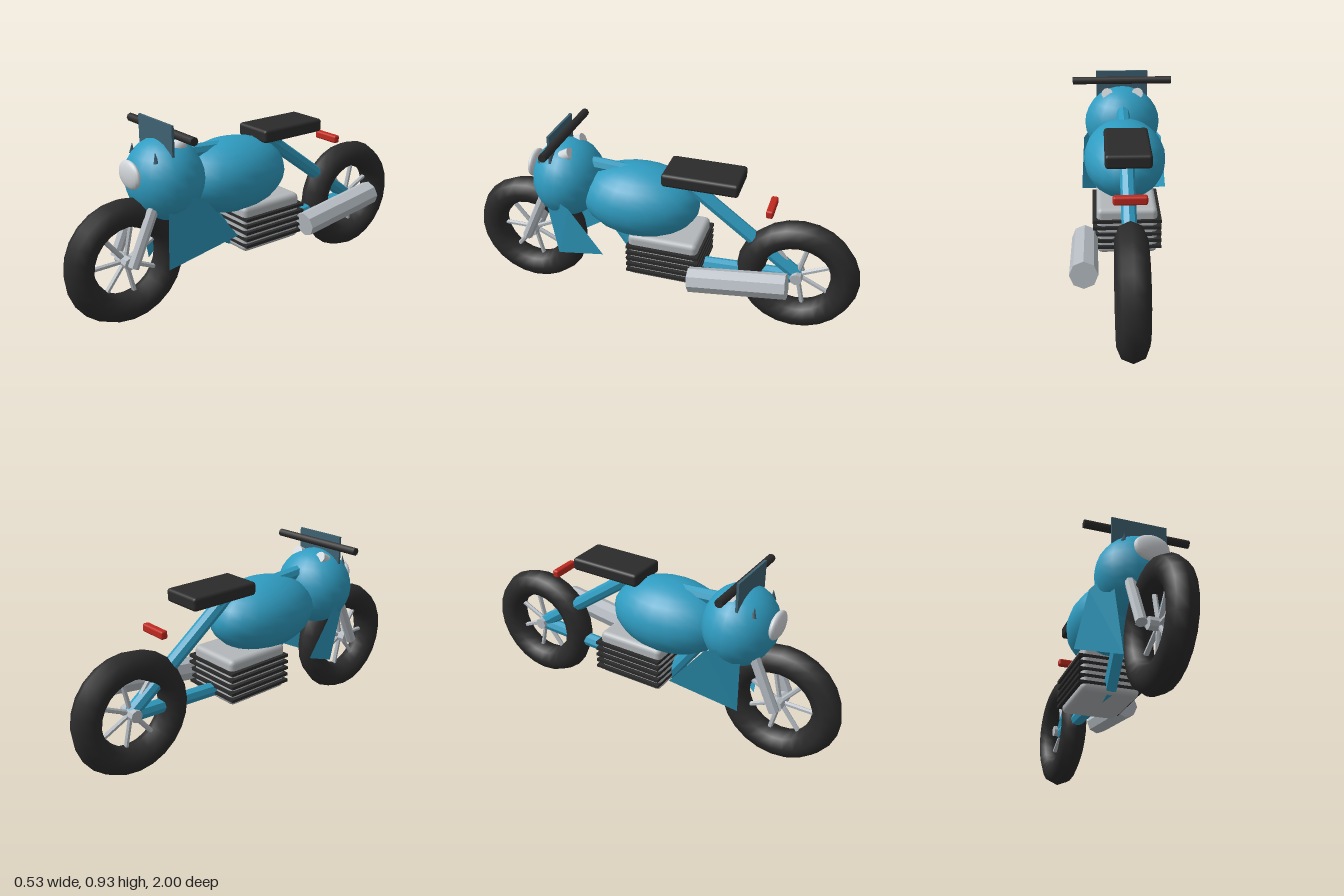
import * as THREE from 'three';
import { RoundedBoxGeometry } from 'three/addons/geometries/RoundedBoxGeometry.js';

const material = (name, color, extra = {}) => {
  const m = new THREE.MeshStandardMaterial({ color, ...extra });
  m.name = name;
  return m;
};

export function createModel() {
  const bike = new THREE.Group();
  bike.name = 'motorcycle';

  const flat = { flatShading: true };
  const blue = material('blue paint', 0x2f9cc1);
  const blueFlat = material('blue frame paint', 0x2f9cc1, flat);
  const bluePanel = material('blue panel paint', 0x2f9cc1, { flatShading: true, side: THREE.DoubleSide });
  const rubber = material('black rubber', 0x2b2b2b);
  const chrome = material('chrome', 0xb6bdc3, flat);
  const engineGrey = material('engine grey', 0xb4b8bb);
  const lamp = material('lamp glass', 0xd0d4d8);
  const red = material('red glass', 0xc0291f);
  const glass = material('windscreen tint', 0x3f6273);

  const add = (name, geometry, mat, x = 0, y = 0, z = 0, parent = bike) => {
    const mesh = new THREE.Mesh(geometry, mat);
    mesh.name = name;
    mesh.position.set(x, y, z);
    parent.add(mesh);
    return mesh;
  };

  // Cylinder joining two points
  const rod = (name, from, to, radius, mat, parent = bike, sides = 8) => {
    const a = new THREE.Vector3(...from), b = new THREE.Vector3(...to);
    const dir = b.clone().sub(a);
    const mesh = add(name, new THREE.CylinderGeometry(radius, radius, dir.length(), sides), mat, 0, 0, 0, parent);
    mesh.position.copy(a).add(b).multiplyScalar(0.5);
    mesh.quaternion.setFromUnitVectors(new THREE.Vector3(0, 1, 0), dir.normalize());
    return mesh;
  };

  const ellipsoid = (name, rx, ry, rz, mat, x, y, z) =>
    add(name, new THREE.SphereGeometry(1, 20, 14).scale(rx, ry, rz), mat, x, y, z);

  // Wheels with seven spokes each
  const tire = new THREE.TorusGeometry(0.23, 0.07, 8, 24).rotateY(Math.PI / 2);
  for (const [name, z] of [['frontWheel', 0.7], ['rearWheel', -0.7]]) {
    const wheel = new THREE.Group();
    wheel.name = name;
    wheel.position.set(0, 0.3, z);
    bike.add(wheel);
    add('tire', tire, rubber, 0, 0, 0, wheel);
    rod('hub', [-0.05, 0, 0], [0.05, 0, 0], 0.03, chrome, wheel);
    for (let i = 0; i < 7; i++) {
      const a = (i / 7) * Math.PI * 2;
      rod('spoke', [0, 0, 0], [0, Math.sin(a) * 0.19, Math.cos(a) * 0.19], 0.012, chrome, wheel, 6);
    }
  }

  // Frame tubes
  rod('topTube', [0, 0.75, 0.42], [0, 0.71, -0.2], 0.035, blueFlat);
  rod('downTube', [0, 0.7, 0.42], [0, 0.245, 0.1], 0.035, blueFlat);
  rod('lowerTube', [0, 0.25, 0.1], [0, 0.29, -0.7], 0.035, blueFlat);
  rod('rearTube', [0, 0.71, -0.15], [0, 0.3, -0.7], 0.035, blueFlat);

  // Body shells
  ellipsoid('fuelTank', 0.205, 0.182, 0.3, blue, 0, 0.59, 0.1);
  ellipsoid('noseFairing', 0.2, 0.195, 0.178, blue, 0, 0.65, 0.475);
  ellipsoid('headlight', 0.085, 0.066, 0.025, lamp, 0, 0.7, 0.653);
  add('windscreen', new THREE.BoxGeometry(0.274, 0.16, 0.012), glass, 0, 0.846, 0.51);

  // Parts mirrored to both sides
  for (const s of [-1, 1]) {
    rod('fork', [s * 0.08, 0.295, 0.705], [s * 0.08, 0.7, 0.52], 0.026, chrome);

    const panel = new THREE.BufferGeometry();
    panel.setAttribute('position', new THREE.Float32BufferAttribute([
      s * 0.09, 0.23, 0.525,
      s * 0.22, 0.37, 0.225,
      s * 0.207, 0.59, 0.4,
      s * 0.15, 0.62, 0.55,
    ], 3));
    panel.setIndex(s > 0 ? [0, 1, 2, 0, 2, 3] : [0, 2, 1, 0, 3, 2]);
    panel.computeVertexNormals();
    add('sidePanel', panel, bluePanel);

    // Gauge and small screen bracket
    rod('gauge', [s * 0.08, 0.8, 0.47], [s * 0.08, 0.825, 0.425], 0.03, lamp, bike, 12);
    const bracket = add('screenBracket', new THREE.ConeGeometry(0.014, 0.05, 4), glass, s * 0.1, 0.787, 0.578);
    bracket.rotation.z = s * 0.15;
  }

  // Controls, seat and tail light
  rod('handlebar', [-0.262, 0.88, 0.485], [0.262, 0.88, 0.485], 0.02, rubber);
  add('seat', new RoundedBoxGeometry(0.21, 0.065, 0.37, 2, 0.015), rubber, 0, 0.767, -0.218);
  add('tailLight', new RoundedBoxGeometry(0.15, 0.04, 0.035, 2, 0.01), red, 0, 0.657, -0.548);

  // Engine block with cooling fins
  add('engineBlock', new RoundedBoxGeometry(0.29, 0.235, 0.35, 2, 0.025), engineGrey, 0, 0.338, -0.05);
  for (let i = 0; i < 5; i++) {
    add('coolingFin', new THREE.BoxGeometry(0.328, 0.015, 0.365), rubber, 0, 0.26 + i * 0.034, -0.055);
  }

  // Exhaust on the left side
  rod('exhaust', [0.202, 0.305, -0.21], [0.202, 0.37, -0.675], 0.062, chrome);

  return bike;
}
